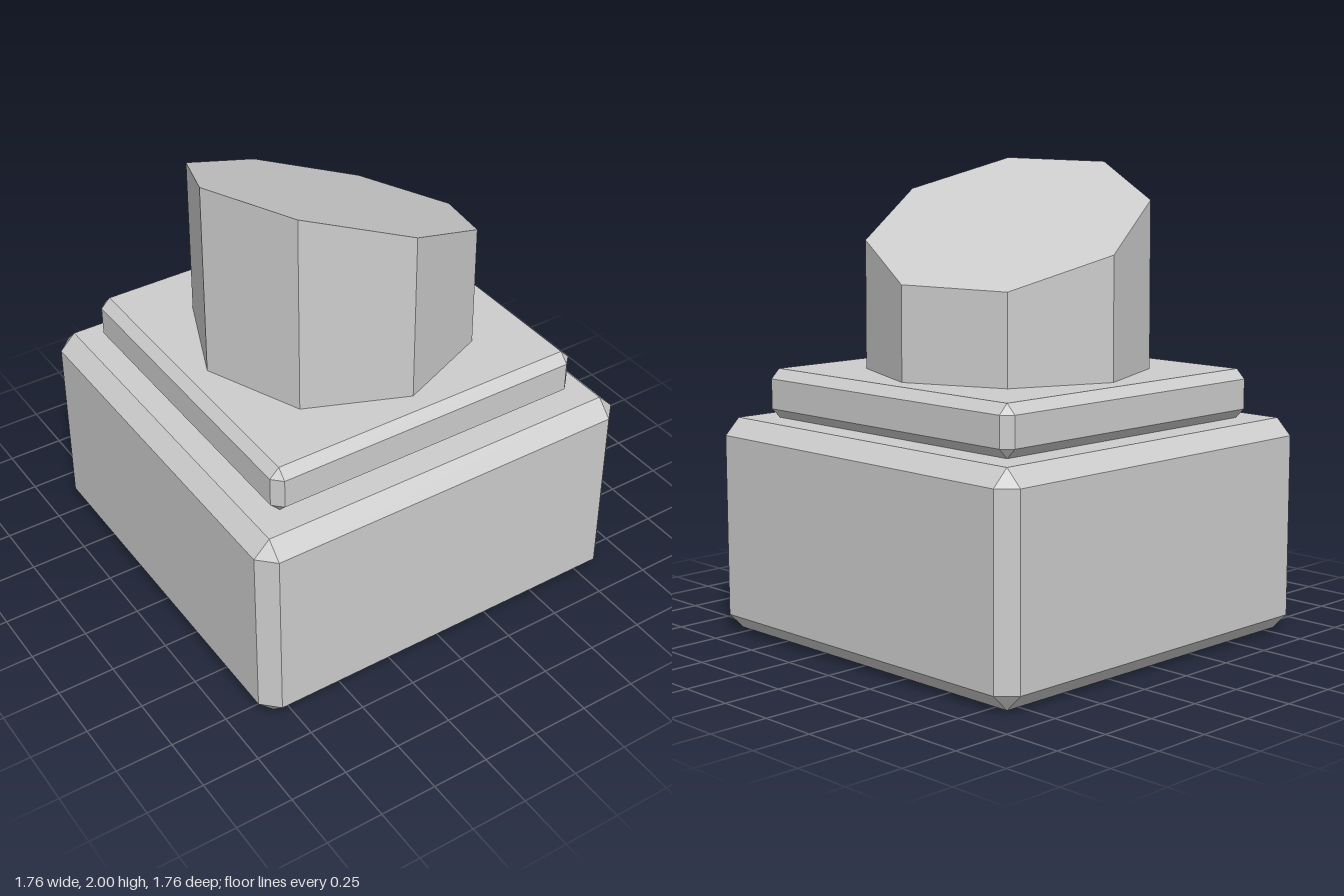
import * as THREE from 'three';
import { ConvexGeometry } from 'three/addons/geometries/ConvexGeometry.js';

// Square block whose twelve edges are cut flat, standing on y = bottom
function chamferedBlock(half, bottom, top, cut) {
  const h = (top - bottom) / 2, mid = (top + bottom) / 2, points = [];
  for (const sx of [-1, 1]) for (const sy of [-1, 1]) for (const sz of [-1, 1]) {
    for (let axis = 0; axis < 3; axis++) {
      const inset = [cut, cut, cut];
      inset[axis] = 0;
      points.push(new THREE.Vector3(
        sx * (half - inset[0]), mid + sy * (h - inset[1]), sz * (half - inset[2])));
    }
  }
  return new ConvexGeometry(points);
}

export function createModel() {
  const model = new THREE.Group();
  const stone = new THREE.MeshStandardMaterial({ color: 0xcccccc, flatShading: true });
  stone.name = 'light grey stone';

  const add = (name, geometry) => {
    const mesh = new THREE.Mesh(geometry, stone);
    mesh.name = name;
    model.add(mesh);
  };

  // Plinth and the thinner plate on it
  add('base', chamferedBlock(0.88, 0, 0.92, 0.07));
  add('plate', chamferedBlock(0.727, 0.92, 1.13, 0.041));

  // Eight-sided column, barely tapered, cut off by a sloping plane
  const column = new THREE.CylinderGeometry(0.6, 0.6, 1, 8);
  const p = column.attributes.position;
  for (let i = 0; i < p.count; i++) {
    const x = p.getX(i), z = p.getZ(i);
    if (p.getY(i) < 0) {
      p.setY(i, 1.13);
      continue;
    }
    const y = 1.757 - 0.39 * x + 0.193 * z;
    const taper = 1 - 0.008 * (y - 1.13);
    p.setXYZ(i, x * taper, y, z * taper);
  }
  column.computeVertexNormals();
  add('slantedColumn', column);

  return model;
}
